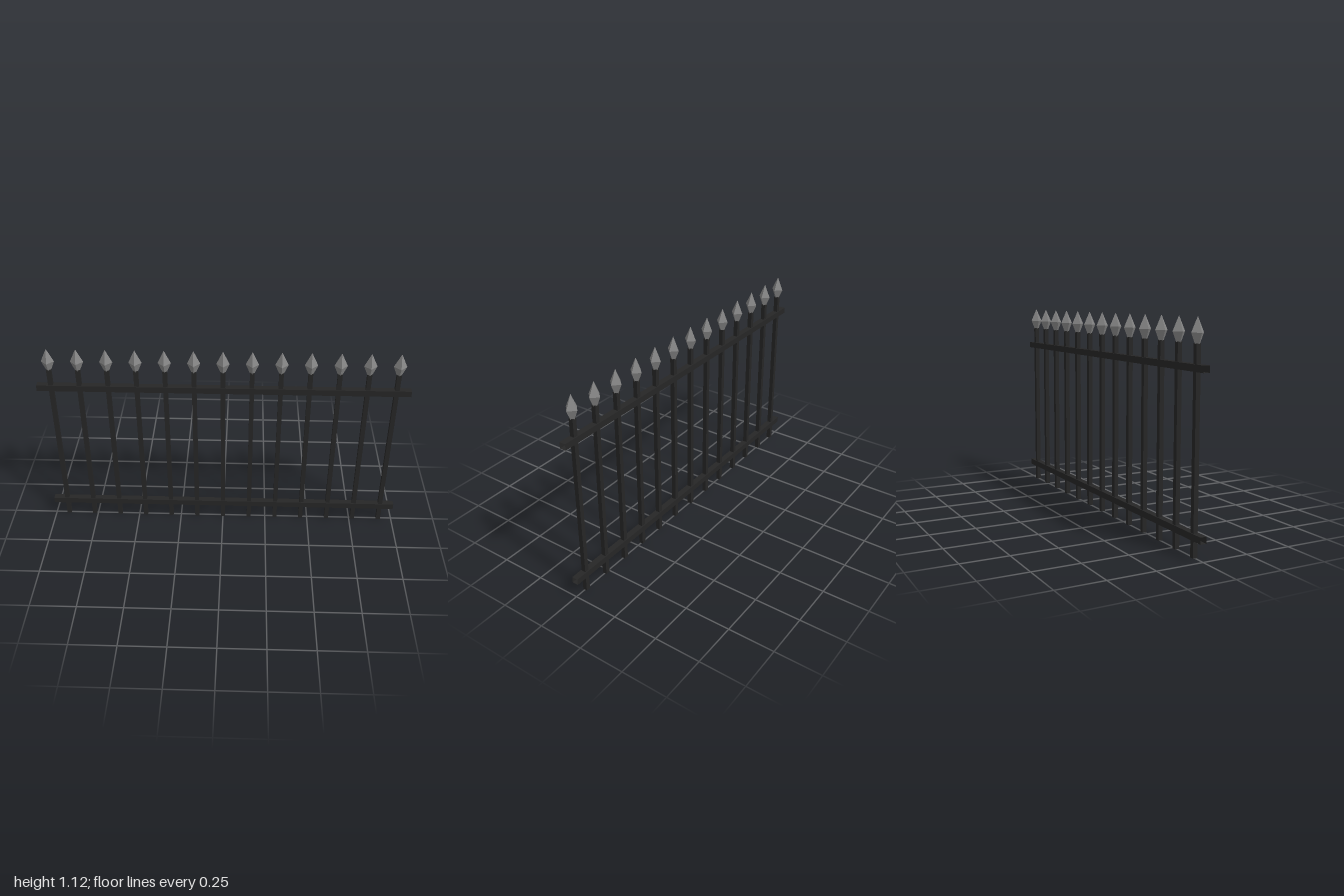
import * as THREE from 'three';

export function createModel() {
  const iron = new THREE.MeshStandardMaterial({ color: 0x262626, side: THREE.DoubleSide });
  iron.name = 'dark iron';
  const steel = new THREE.MeshStandardMaterial({ color: 0x858585 });
  steel.name = 'grey steel';

  const fence = new THREE.Group();
  fence.name = 'fence';

  const add = (name, geometry, material, x, y) => {
    const mesh = new THREE.Mesh(geometry, material);
    mesh.name = name;
    mesh.position.set(x, y, 0);
    fence.add(mesh);
  };

  // Square rails, open at both ends so that sections join end to end
  const side = 0.034;
  const railGeometry = new THREE.CylinderGeometry(side * Math.SQRT1_2, side * Math.SQRT1_2, 2, 4, 1, true)
    .rotateY(Math.PI / 4)
    .rotateZ(Math.PI / 2)
    .toNonIndexed();
  railGeometry.computeVertexNormals();
  add('lowerRail', railGeometry, iron, 0, 0.103);
  add('upperRail', railGeometry, iron, 0, 0.889);

  // Four-sided spearhead with its corners facing front, back and sides
  const spearGeometry = new THREE.LatheGeometry([
    new THREE.Vector2(0, 0),
    new THREE.Vector2(0.013, 0),
    new THREE.Vector2(0.035, 0.052),
    new THREE.Vector2(0, 0.126),
  ], 4).toNonIndexed();
  spearGeometry.computeVertexNormals();

  // Evenly spaced square pickets, each with a spearhead
  const barGeometry = new THREE.BoxGeometry(0.024, 1, 0.024);
  const count = 13;
  for (let i = 0; i < count; i++) {
    const x = (i - (count - 1) / 2) * (2 / count);
    add('picket', barGeometry, iron, x, 0.5);
    add('spearhead', spearGeometry, steel, x, 0.996);
  }
  return fence;
}
